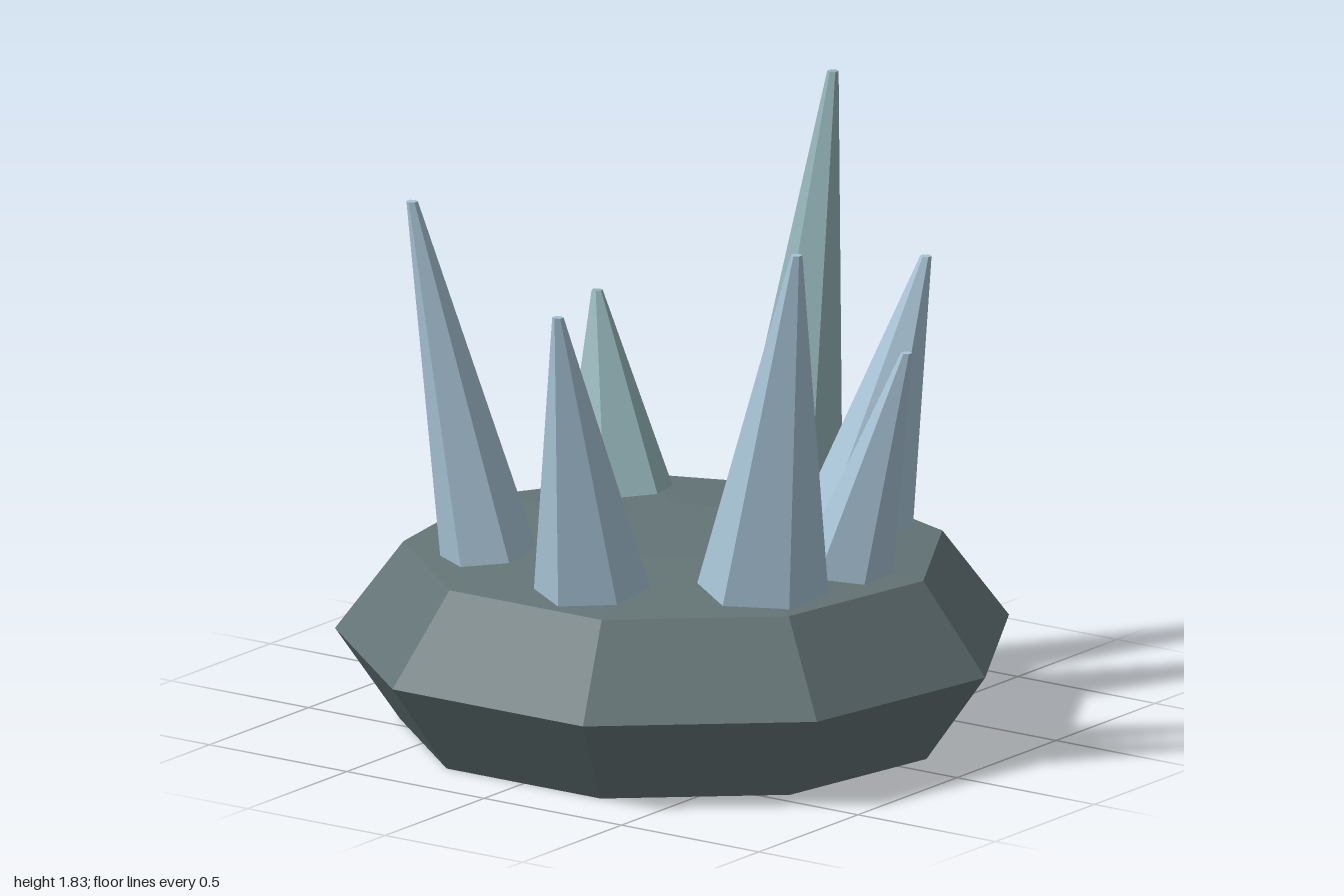
import * as THREE from 'three';

const stone = new THREE.MeshStandardMaterial({ color: 0x647476 });
stone.name = 'stone';
const iceBlue = new THREE.MeshStandardMaterial({ color: 0xa8c4d6 });
iceBlue.name = 'ice blue';
const iceTeal = new THREE.MeshStandardMaterial({ color: 0x92b2b6 });
iceTeal.name = 'ice teal';

// Split the faces so every facet is shaded flat
function faceted(geometry) {
  const flat = geometry.toNonIndexed();
  flat.computeVertexNormals();
  return flat;
}

// Six-sided crystal leaning from its foot to its tip
const FOOT_Y = 0.54;
function crystal({ foot, radius, tip, turn = 0, material }) {
  const height = tip[1] - FOOT_Y;
  const geometry = new THREE.CylinderGeometry(0.017, radius, height, 6, 1, false, Math.PI / 2 - turn);
  geometry.translate(0, height / 2, 0);
  const p = geometry.attributes.position;
  for (let i = 0; i < p.count; i++) {
    const t = p.getY(i) / height;
    p.setXYZ(
      i,
      p.getX(i) + THREE.MathUtils.lerp(foot[0], tip[0], t),
      p.getY(i) + FOOT_Y,
      p.getZ(i) + THREE.MathUtils.lerp(foot[1], tip[2], t)
    );
  }
  return new THREE.Mesh(faceted(geometry), material);
}

// foot is [x, z], tip is [x, y, z]
const crystals = [
  { foot: [0.52, 0], radius: 0.17, tip: [0.76, 1.83, 0], material: iceTeal },
  { foot: [0.325, -0.465], radius: 0.175, tip: [0.45, 1.125, -0.635], turn: 0.66, material: iceTeal },
  { foot: [-0.185, -0.56], radius: 0.11, tip: [-0.24, 1.365, -0.77], material: iceTeal },
  { foot: [-0.445, -0.375], radius: 0.15, tip: [-0.615, 1.655, -0.54], material: iceBlue },
  { foot: [-0.58, 0.095], radius: 0.178, tip: [-0.815, 1.455, 0.135], material: iceBlue },
  { foot: [-0.29, 0.497], radius: 0.2, tip: [-0.4, 1.645, 0.705], material: iceBlue },
  { foot: [0.022, 0.57], radius: 0.147, tip: [0.037, 1.26, 0.79], material: iceBlue },
  { foot: [0.445, 0.3], radius: 0.177, tip: [0.64, 1.36, 0.425], material: iceBlue },
];

export function createModel() {
  const model = new THREE.Group();
  model.name = 'crystalCluster';

  // Nine-sided rock with a slightly domed top
  const profile = [[0, 0], [0.82, 0], [1.013, 0.273], [0.81, 0.545], [0.3, 0.602], [0, 0.605]]
    .map(([r, y]) => new THREE.Vector2(r, y));
  const rock = new THREE.Mesh(faceted(new THREE.LatheGeometry(profile, 9, Math.PI / 2)), stone);
  rock.name = 'rockBase';
  rock.position.x = -0.03;
  model.add(rock);

  // Ring of crystals
  crystals.forEach((spec, i) => {
    const mesh = crystal(spec);
    mesh.name = `crystal${i + 1}`;
    model.add(mesh);
  });

  return model;
}
